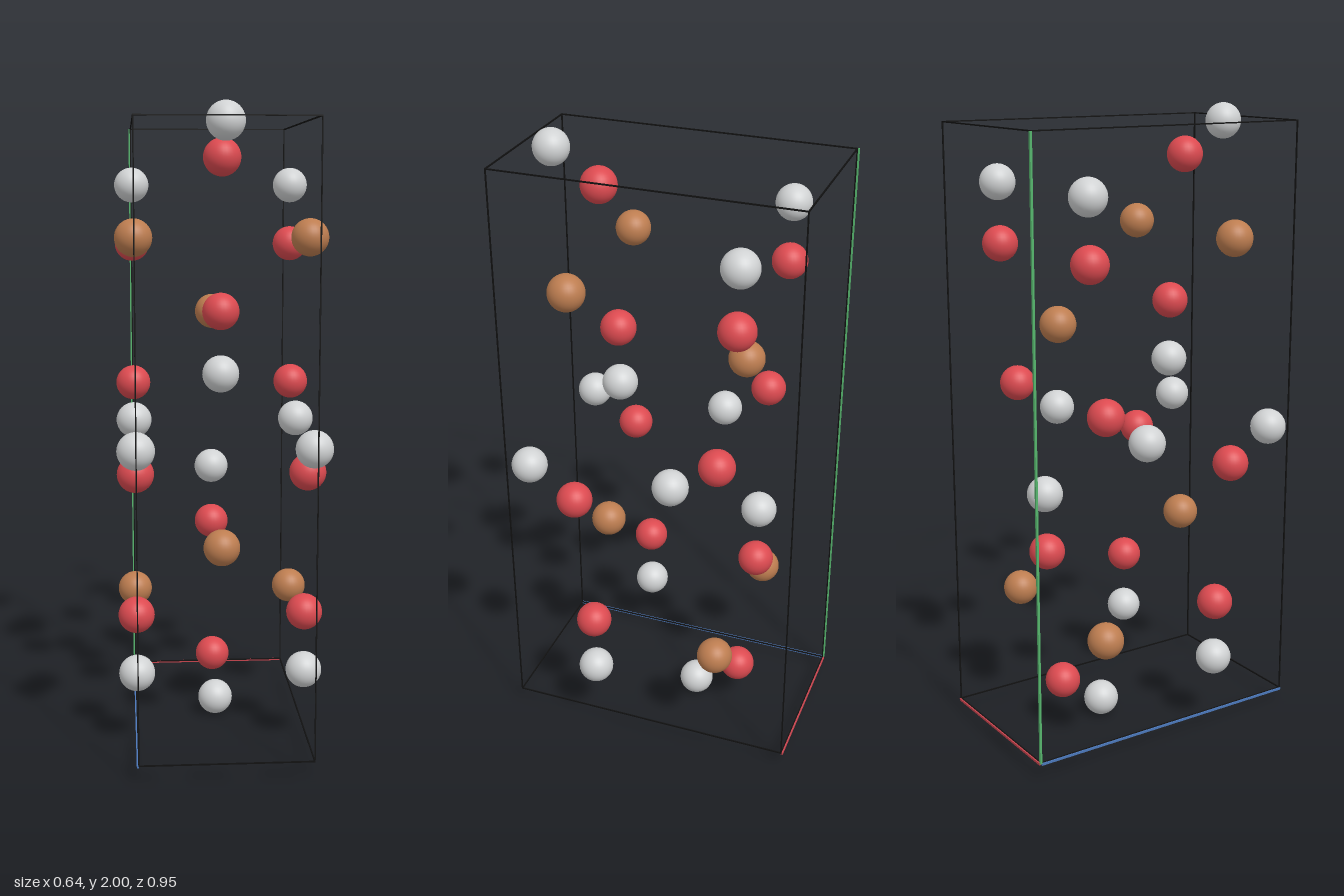
import * as THREE from 'three';

export function createModel() {
  const model = new THREE.Group();
  model.name = 'crystalCell';

  const material = (name, color) => {
    const m = new THREE.MeshStandardMaterial({ color });
    m.name = name;
    return m;
  };
  const silver = material('silver', 0xd0d2d3);
  const red = material('red', 0xdc4a50);
  const brown = material('brown', 0xbd7d50);
  const black = material('black', 0x111111);
  const axisRed = material('axisRed', 0xc8444e);
  const axisGreen = material('axisGreen', 0x55b46c);
  const axisBlue = material('axisBlue', 0x4a76b8);

  // Cell extents
  const X = 0.265, Z = 0.473, Y0 = 0.05, Y1 = 1.955;
  const H = Y1 - Y0, YM = (Y0 + Y1) / 2;

  const bar = (name, mat, size, pos) => {
    const mesh = new THREE.Mesh(new THREE.BoxGeometry(...size), mat);
    mesh.name = name;
    mesh.position.set(...pos);
    model.add(mesh);
  };

  // Twelve thin edges of the cell
  const t = 0.004;
  for (const a of [-1, 1]) {
    for (const b of [-1, 1]) {
      const y = b < 0 ? Y0 : Y1;
      bar('edgeX', black, [2 * X + t, t, t], [0, y, a * Z]);
      bar('edgeZ', black, [t, t, 2 * Z + t], [a * X, y, 0]);
      bar('edgeY', black, [t, H + t, t], [a * X, YM, b * Z]);
    }
  }

  // Coloured axes, just outside the edges that meet at the back corner
  const w = 0.007, o = 0.003;
  bar('axisX', axisRed, [2 * X, w, w], [0, Y0 - o, -Z - o]);
  bar('axisY', axisGreen, [w, H, w], [-X - o, YM, -Z - o]);
  bar('axisZ', axisBlue, [w, w, 2 * Z], [-X - o, Y0 - o, 0]);

  // Atoms of the lower half: material, height, depth, on the side faces or in the middle
  const atoms = [
    [silver, 0.057, -0.083, false],
    [red, 0.16, -0.232, false],
    [silver, 0.24, 0.185, true],
    [brown, 0.398, -0.235, true],
    [red, 0.432, 0.187, true],
    [red, 0.62, -0.285, false],
    [brown, 0.657, 0.238, false],
    [silver, 0.813, -0.29, false],
    [red, 0.893, 0.24, true],
    [silver, 0.992, 0.39, true],
  ];
  const ball = new THREE.SphereGeometry(0.057, 32, 20);
  const addAtom = (mat, x, y, z) => {
    const mesh = new THREE.Mesh(ball, mat);
    mesh.name = mat.name + 'Atom';
    mesh.position.set(x, y, z);
    model.add(mesh);
  };
  // Each atom repeats half a cell higher, swapping sides and middle
  for (const [mat, y, z, onSides] of atoms) {
    for (const half of [0, 1]) {
      const xs = onSides !== (half === 1) ? [-X, X] : [0];
      for (const x of xs) addAtom(mat, x, y + half * H / 2, z);
    }
  }
  return model;
}
